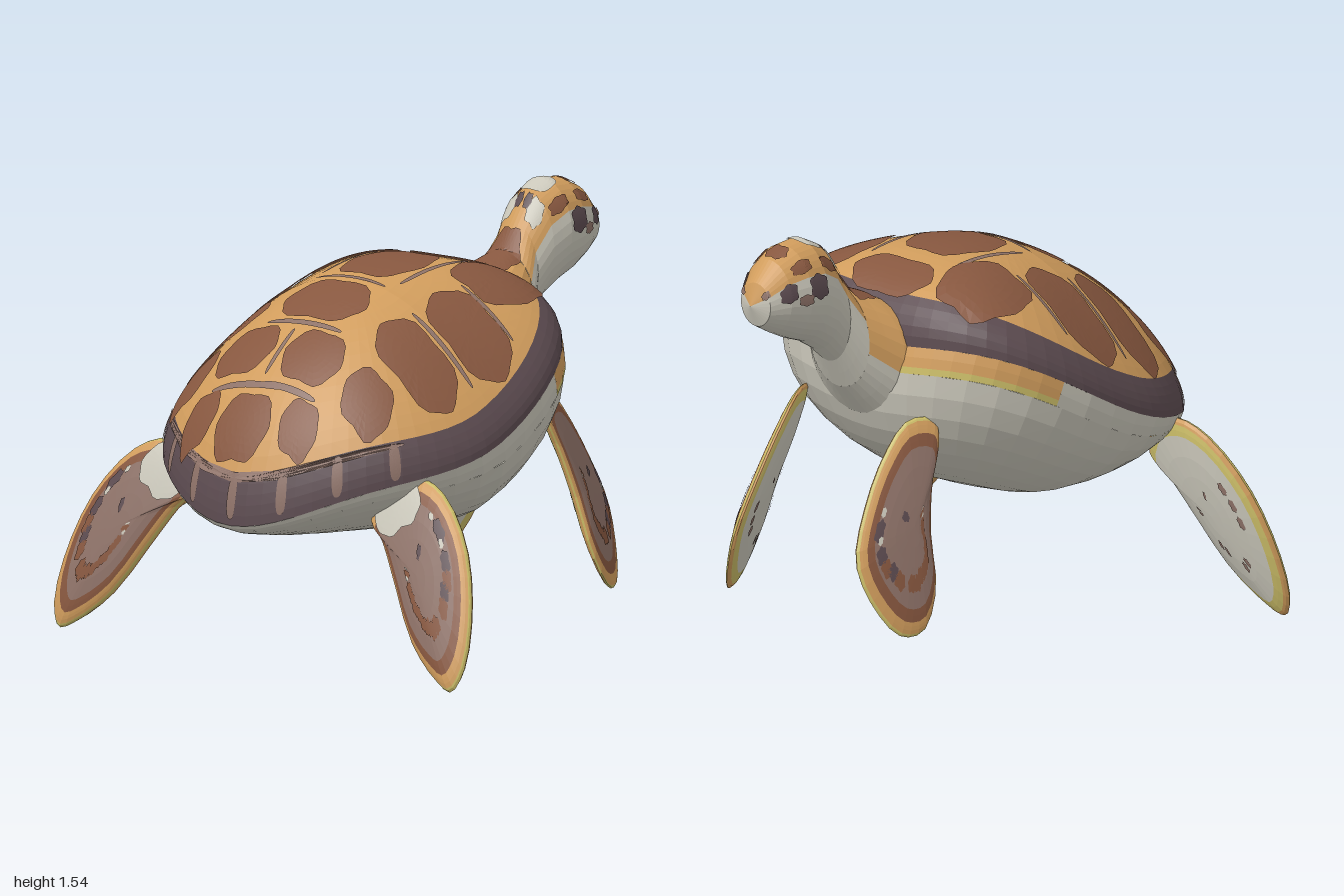
import * as THREE from 'three';

const mat = (name, color) => {
  const m = new THREE.MeshStandardMaterial({ color, side: THREE.DoubleSide, flatShading: true });
  m.name = name;
  return m;
};
const V = (x, y, z) => new THREE.Vector3(x, y, z);
const clamp = THREE.MathUtils.clamp;
const P = Math.PI;

// Surface patch: surf(u, v) sampled over a rectangle of parameters
function patch(name, surf, [u0, u1], [v0, v1], nu, nv, material) {
  const pos = [], idx = [];
  for (let j = 0; j <= nv; j++)
    for (let i = 0; i <= nu; i++) pos.push(...surf(u0 + (u1 - u0) * i / nu, v0 + (v1 - v0) * j / nv).toArray());
  for (let j = 0; j < nv; j++)
    for (let i = 0; i < nu; i++) {
      const a = j * (nu + 1) + i, b = a + nu + 1;
      idx.push(a, b, a + 1, a + 1, b, b + 1);
    }
  const g = new THREE.BufferGeometry();
  g.setAttribute('position', new THREE.Float32BufferAttribute(pos, 3));
  g.setIndex(idx);
  g.computeVertexNormals();
  const mesh = new THREE.Mesh(g, material);
  mesh.name = name;
  return mesh;
}

// Rounded plate lying on a surface, lifted away from the point ref
function plate(name, surf, ref, u, v, hu, hv, material, lift = 0.007, wobble = 0.05) {
  const e = 1e-3;
  const at = (a, k) => {
    const c = Math.cos(a), s = Math.sin(a);
    const r = k * (1 + wobble * Math.cos(6 * a)) / Math.pow(Math.abs(c) ** 2.8 + Math.abs(s) ** 2.8, 1 / 2.8);
    const pu = u + hu * c * r, pv = v + hv * s * r, p = surf(pu, pv);
    const nrm = surf(pu + e, pv).sub(p).cross(surf(pu, pv + e).sub(p)).normalize();
    if (nrm.dot(p.clone().sub(ref)) < 0) nrm.negate();
    return p.addScaledVector(nrm, lift);
  };
  return patch(name, at, [0, 2 * P], [0, 1], 24, 5, material);
}

// Shell plan outline, tilted rim and dome
const CX = 0.03, CZ = 0.3;
function rimRadius(a) {
  const s = Math.sin(a), p = s < 0 ? 2.6 : 1.9;
  return Math.pow(Math.abs(Math.cos(a) / 0.69) ** p + Math.abs(s / (s < 0 ? 0.69 : 0.66)) ** p, -1 / p);
}
const polar = (a, rho) => [CX + Math.cos(a) * rimRadius(a) * rho, CZ + Math.sin(a) * rimRadius(a) * rho];
function planCoords(x, z) {
  const a = Math.atan2(z - CZ, x - CX);
  return [a, Math.min(1, Math.hypot(x - CX, z - CZ) / rimRadius(a))];
}
function base(x, z) {
  const [a, rho] = planCoords(x, z);
  return 0.94 - 0.43 * z + 0.06 * (rho * Math.sin(2 * a)) ** 2;
}
function dome(x, z) {
  const rho = planCoords(x, z)[1], front = clamp((CZ - z) / 0.7, 0, 1);
  const h = (0.51 - 0.15 * front) * (1 - (x - CX) ** 2);
  return V(x, base(x, z) + h * Math.sqrt(1 - rho ** (2.4 + 0.3 * front)), z);
}
const bandEdge = a => 0.915 + 0.035 * Math.sin(a);
const domeTop = (a, t) => dome(...polar(a, Math.sin(t * Math.asin(bandEdge(a)))));
const domeBand = (a, t) => {
  const b = Math.asin(bandEdge(a));
  return dome(...polar(a, Math.min(1, Math.sin(b + (P / 2 - b) * t))));
};
// Belly bulges square to the tilted rim, deepest toward the chest
function belly(a, t) {
  const rho = Math.sin(t * P / 2), [x, z] = polar(a, rho);
  const f = z > CZ ? 1 - 0.65 * (z - CZ) / 0.66 : 1 + 0.2 * (CZ - z) / 0.7;
  const d = 0.4 * f * Math.sqrt(Math.max(0, 1 - rho ** 2.3));
  return V(x, base(x, z) - 0.92 * d, z - 0.39 * d);
}

// Neck and head stations: z, top, bottom, half width
const stations = [
  [-0.26, 1.22, 0.76, 0.3], [-0.39, 1.28, 0.83, 0.23], [-0.49, 1.32, 0.95, 0.145], [-0.55, 1.41, 1.06, 0.11],
  [-0.62, 1.51, 1.12, 0.125], [-0.7, 1.55, 1.17, 0.14], [-0.78, 1.545, 1.2, 0.135], [-0.86, 1.51, 1.24, 0.11],
  [-0.93, 1.44, 1.28, 0.07], [-0.96, 1.36, 1.36, 0]];
function head(phi, u) {
  const i = clamp(Math.floor(u), 0, stations.length - 2), f = u - i;
  const [z, top, bot, w] = stations[i].map((q, k) => q + (stations[i + 1][k] - q) * f);
  return V(0.065 + w * Math.cos(phi), (top + bot) / 2 + (top - bot) / 2 * Math.sin(phi), z);
}

// Leaf-shaped flipper from an outline and a rule placing it in space
function flipper(name, outline, thick, paleRoot, place, c) {
  const g = new THREE.Group();
  g.name = name;
  const curve = new THREE.CatmullRomCurve3(outline.map(p => V(p[0], p[1], 0)), true);
  const mid = outline.reduce((m, p) => m.add(V(p[0], p[1], 0)), V(0, 0, 0)).divideScalar(outline.length);
  const face = dir => (a, k) => {
    const p = curve.getPoint(((a % 1) + 1) % 1).sub(mid).multiplyScalar(k).add(mid);
    return place(p.x, p.y, dir * thick * Math.sqrt(Math.max(0, 1 - k * k)));
  };
  const out = face(1), inn = face(-1), ref = place(mid.x, mid.y, -0.3), refIn = place(mid.x, mid.y, 0.3);
  g.add(patch('outerFace', out, [0, 1], [0, 0.74], 32, 4, c.taupe),
    patch('outerBrownRing', out, [0, 1], [0.74, 0.86], 32, 2, c.brown),
    patch('outerBorder', out, [0, 1], [0.86, 0.97], 32, 3, c.amber),
    patch('outerEdge', out, [0, 1], [0.97, 1], 32, 2, c.yellow),
    patch('innerFace', inn, [0, 1], [0, 0.84], 32, 4, c.cream),
    patch('innerBorder', inn, [0, 1], [0.84, 0.95], 32, 2, c.yellow),
    patch('innerEdge', inn, [0, 1], [0.95, 1], 32, 2, c.amber));
  if (paleRoot) g.add(plate('rootPatch', out, ref, 0.1, 0.74, 0.09, 0.24, c.cream, 0.005));
  for (let i = 0; i < 20; i++) {
    const a = 0.22 + 0.7 * ((i * 0.618) % 1), k = 0.25 + 0.5 * ((i * 0.377) % 1);
    const m = i % 5 === 0 ? c.slate : i % 5 === 3 ? c.cream : c.brown;
    g.add(plate('scale', out, ref, a, k, m === c.cream ? 0.01 : 0.024, m === c.cream ? 0.04 : 0.08, m, 0.004, 0.12));
    if (i % 2 === 0) g.add(plate('innerFleck', inn, refIn, a, k, 0.014, 0.05, c.taupe, 0.004, 0.12));
  }
  return g;
}

export function createModel() {
  const c = {
    amber: mat('amber', 0xd09c5c), brown: mat('scute brown', 0x87573f), slate: mat('rim slate', 0x5c4b50),
    cream: mat('belly cream', 0xcac7ba), taupe: mat('flipper taupe', 0x8e7268), yellow: mat('edge yellow', 0xcbbd68),
  };
  const model = new THREE.Group();
  model.name = 'turtle';
  const full = [0, 2 * P];

  // Shell
  const shell = new THREE.Group();
  shell.name = 'shell';
  model.add(shell);
  shell.add(patch('carapace', domeTop, full, [0, 1], 64, 14, c.amber),
    patch('rimBand', domeBand, full, [0, 1], 64, 5, c.slate));
  const shellRef = V(CX, 0.7, CZ);
  // Scutes: x, z, half width, half length
  const scutes = [
    [0.03, -0.24, 0.17, 0.085], [0.03, 0.09, 0.15, 0.17], [0.02, 0.42, 0.175, 0.1], [-0.15, 0.645, 0.12, 0.085],
    [0.15, 0.645, 0.12, 0.085], [0, 0.85, 0.115, 0.065], [-0.29, -0.12, 0.14, 0.165], [-0.42, 0.19, 0.17, 0.12],
    [-0.41, 0.44, 0.17, 0.095], [-0.38, 0.66, 0.085, 0.08], [-0.22, 0.82, 0.075, 0.055],
    [0.36, -0.1, 0.135, 0.16], [0.48, 0.19, 0.16, 0.115], [0.45, 0.44, 0.16, 0.1], [0.41, 0.66, 0.09, 0.08],
    [0.23, 0.82, 0.075, 0.055]];
  for (const [x, z, w, l] of scutes) shell.add(plate('scute', dome, shellRef, x, z, w, l, c.brown));
  // Fine seams between the scutes
  const seams = [[-0.15, 0.04, 0.01, 0.2], [0.205, 0.04, 0.01, 0.2], [0.02, 0.29, 0.16, 0.01], [0.02, 0.54, 0.17, 0.01],
    [0, 0.65, 0.009, 0.08], [-0.4, 0.06, 0.12, 0.009], [0.46, 0.067, 0.12, 0.008], [-0.42, 0.327, 0.14, 0.009],
    [0.47, 0.322, 0.14, 0.009], [-0.06, 0.76, 0.16, 0.009], [0.13, 0.755, 0.12, 0.009]];
  for (const [x, z, w, l] of seams) shell.add(plate('scuteSeam', dome, shellRef, x, z, w, l, c.taupe, 0.005, 0));
  // Pale seams across the rear of the rim
  for (let i = 0; i < 7; i++)
    shell.add(plate('rimSeam', domeBand, shellRef, P * (0.2 + 0.1 * i), 0.45, 0.03, 0.42, c.taupe, 0.004, 0));
  shell.add(plate('rimUpperSeam', domeBand, shellRef, P / 2, 0.1, P * 0.32, 0.09, c.taupe, 0.005, 0));

  // Belly, with an amber margin beneath the front rim
  model.add(patch('belly', belly, full, [0, 0.88], 40, 9, c.cream),
    patch('bellyRearMargin', belly, [-0.16 * P, 1.16 * P], [0.88, 1], 26, 2, c.cream),
    patch('bellyFrontMargin', belly, [1.16 * P, 1.84 * P], [0.91, 1], 20, 2, c.amber),
    patch('bellyFrontStripe', belly, [1.16 * P, 1.84 * P], [0.88, 0.91], 20, 1, c.yellow));

  // Neck and head
  const neckHead = new THREE.Group();
  neckHead.name = 'neckAndHead';
  model.add(neckHead);
  neckHead.add(patch('neckTop', head, [-0.06 * P, 1.06 * P], [0, 2], 14, 4, c.amber),
    patch('throat', head, [1.06 * P, 1.94 * P], [0, 2], 14, 4, c.cream),
    patch('headCap', head, [0.15 * P, 0.85 * P], [2, 9], 14, 14, c.amber),
    patch('jaw', head, [0.85 * P, 2.15 * P], [2, 9], 20, 14, c.cream));
  const headRef = V(0.065, 1.2, -0.6);
  const mark = (name, phi, u, hp, hu, m, wobble = 0.1) =>
    neckHead.add(plate(name, head, headRef, phi * P, u, hp * P, hu, m, 0.005, wobble));
  mark('neckStripe', 0.5, 1.9, 0.17, 0.95, c.brown);
  mark('crownPatch', 0.5, 4.75, 0.14, 0.6, c.cream, 0);
  mark('browScute', 0.5, 6.5, 0.11, 0.4, c.brown);
  for (const s of [-1, 1]) {
    mark('eye', 0.5 - s * 0.42, 5.55, 0.08, 0.5, c.slate);
    mark('noseSpot', 0.5 - s * 0.42, 7.1, 0.08, 0.4, c.slate);
    mark('templeScute', 0.5 - s * 0.27, 4.6, 0.05, 0.5, c.brown);
    mark('browSpot', 0.5 - s * 0.26, 6.2, 0.05, 0.5, c.brown);
    mark('cheekSpot', 0.5 - s * 0.5, 6.3, 0.04, 0.35, c.taupe);
    mark('napeFleck', 0.5 - s * 0.16, 3.6, 0.09, 0.4, c.cream);
    mark('napeSpot', 0.5 - s * 0.05, 3.75, 0.04, 0.25, c.slate);
    mark('nostril', 0.5 - s * 0.3, 8.1, 0.06, 0.2, c.taupe);
  }

  // Rear flippers spread sideways
  const rear = [[0.42, 0.55], [0.47, 0.67], [0.59, 0.715], [0.72, 0.67], [0.87, 0.51], [0.96, 0.3], [0.985, 0.1],
    [0.95, 0.02], [0.87, 0.05], [0.73, 0.16], [0.57, 0.38], [0.48, 0.5]];
  for (const [name, s, z0, slope] of [['leftRearFlipper', 1, 0.61, 0.36], ['rightRearFlipper', -1, 0.59, 0.24]])
    model.add(flipper(name, rear, 0.05, true, (u, v, w) => V(s * u, v + 0.3 * w, z0 + slope * (0.65 - v) + w), c));

  // Front flippers hang beneath the chest (outline in z, y)
  const front = [[-0.34, 0.86], [-0.43, 0.87], [-0.54, 0.77], [-0.66, 0.59], [-0.735, 0.41], [-0.71, 0.26],
    [-0.64, 0.15], [-0.56, 0.15], [-0.48, 0.28], [-0.45, 0.48], [-0.4, 0.66], [-0.34, 0.8]];
  for (const [name, s, x0] of [['leftFrontFlipper', 1, 0.29], ['rightFrontFlipper', -1, 0.19]])
    model.add(flipper(name, front, 0.04, false,
      (u, v, w) => V(s * (x0 + 0.32 * (0.85 - v) + 0.4 * (u + 0.5) + w), v, u), c));
  return model;
}
